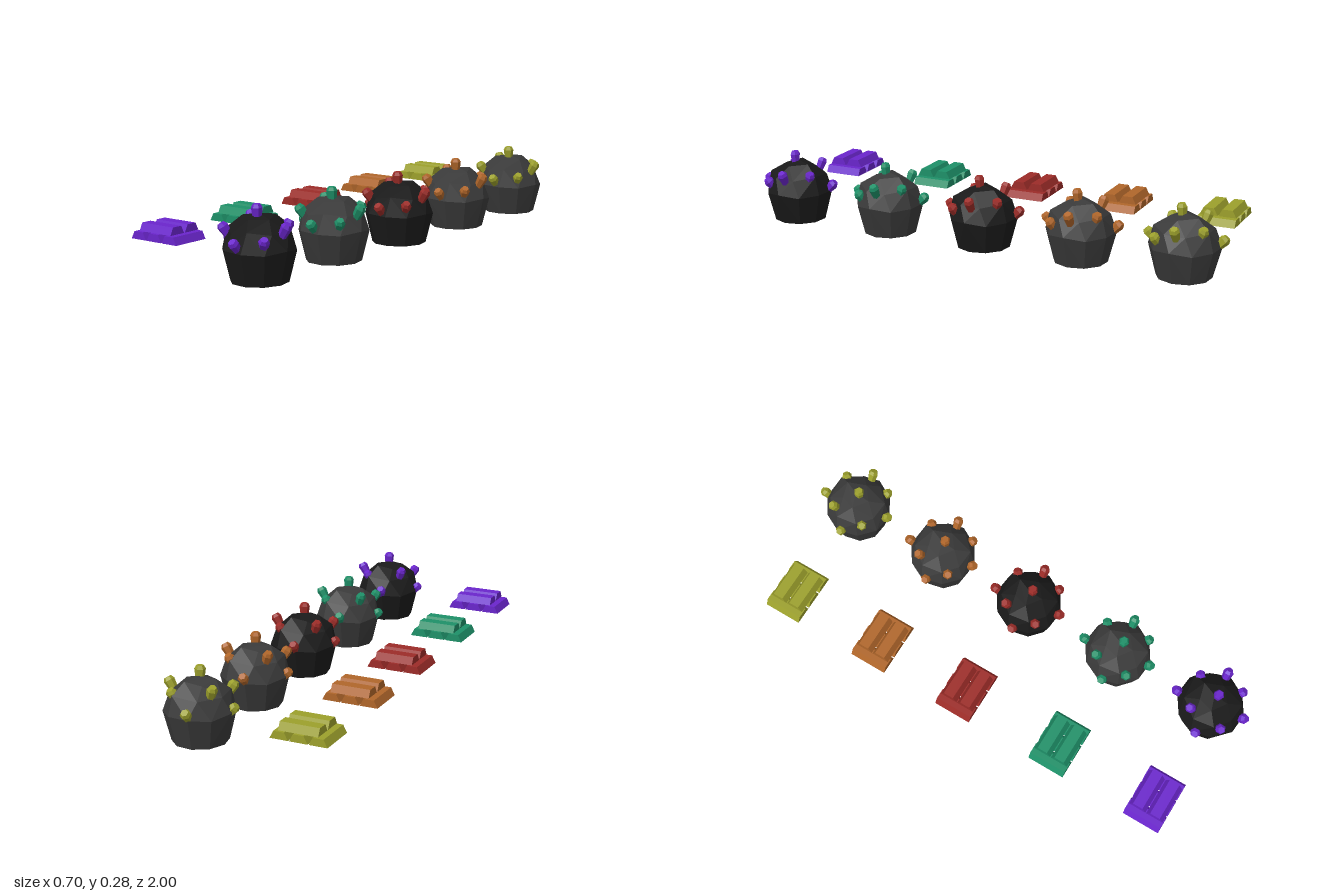
import * as THREE from 'three';
import { ConvexGeometry } from 'three/addons/geometries/ConvexGeometry.js';

const mat = (color) => new THREE.MeshStandardMaterial({ color, flatShading: true });

// Faceted boulder: convex hull of slightly uneven rings, flat underneath
function boulderGeometry() {
  const rings = [ // height, radius, corners, turn
    [0, 0.106, 10, 0.1], [0.12, 0.137, 10, 0.1], [0.188, 0.114, 8, 0.35], [0.23, 0.06, 5, 0.2],
  ];
  const points = [new THREE.Vector3(0.0, 0.244, 0.0)];
  rings.forEach(([y, r, n, turn], k) => {
    for (let i = 0; i < n; i++) {
      const a = turn + (i / n) * Math.PI * 2 + (k > 1 ? 0.12 * Math.sin(i * 5.3 + k) : 0);
      const wobble = k ? 0.004 * Math.sin(i * 3.7 + k * 2) : 0;
      points.push(new THREE.Vector3(Math.cos(a) * (r + wobble), y + wobble * 1.8, Math.sin(a) * (r + wobble)));
    }
  });
  return new ConvexGeometry(points);
}

// Six-sided crystal, widening to a bevelled tip; the tip sits at the origin
function crystalGeometry() {
  const profile = [[0, -0.085], [0.012, -0.085], [0.021, -0.013], [0.014, 0], [0, 0]];
  return new THREE.LatheGeometry(profile.map(([r, y]) => new THREE.Vector2(r, y)), 6);
}

// Ingot: trapezoid bar along z, resting on y = 0
function ingotGeometry() {
  const s = new THREE.Shape();
  s.moveTo(-0.036, 0);
  s.lineTo(0.036, 0);
  s.lineTo(0.021, 0.029);
  s.lineTo(-0.021, 0.029);
  s.closePath();
  const g = new THREE.ExtrudeGeometry(s, { depth: 0.156, bevelEnabled: false });
  return g.translate(0, 0, -0.078);
}

// Crystal tips relative to the boulder's centre
const TIPS = [
  [0.003, 0.28, 0.016], [-0.029, 0.16, -0.153], [-0.093, 0.235, -0.06],
  [0.064, 0.213, -0.095], [-0.15, 0.152, 0.005], [0.132, 0.22, 0],
  [-0.1, 0.21, 0.09], [0.102, 0.177, 0.092], [0.006, 0.167, 0.152],
];

// Ore colour, rock colour, rock z, ingot z
const SETS = [
  [0x6a25cc, 0x1a1a1a, 0.835, 0.832],
  [0x1e9068, 0x3a3a3a, 0.41, 0.403],
  [0x9c2c28, 0x1a1a1a, -0.008, -0.03],
  [0xb0662a, 0x3a3a3a, -0.42, -0.43],
  [0x9ca02c, 0x3a3a3a, -0.835, -0.844],
];

export function createModel() {
  const model = new THREE.Group();
  const boulder = boulderGeometry(), crystal = crystalGeometry(), ingot = ingotGeometry();
  const up = new THREE.Vector3(0, 1, 0);

  for (const [oreColor, rockColor, rockZ, ingotZ] of SETS) {
    const oreMat = mat(oreColor);

    // Boulder with crystals growing out and up
    const node = new THREE.Group();
    node.name = 'oreBoulder';
    node.position.set(0.206, 0, rockZ);
    const rock = new THREE.Mesh(boulder, mat(rockColor));
    rock.name = 'rock';
    node.add(rock);
    for (const tip of TIPS) {
      const c = new THREE.Mesh(crystal, oreMat);
      c.name = 'crystal';
      c.position.set(...tip);
      c.quaternion.setFromUnitVectors(up, c.position.clone().normalize());
      node.add(c);
    }
    model.add(node);

    // Stack: three ingots along z, two across on top
    const stack = new THREE.Group();
    stack.name = 'ingotStack';
    stack.position.set(-0.238, 0.095, ingotZ);
    for (const i of [-1, 0, 1]) {
      const bar = new THREE.Mesh(ingot, oreMat);
      bar.name = 'lowerIngot';
      bar.position.x = i * 0.0765;
      stack.add(bar);
    }
    for (const side of [-1, 1]) {
      const bar = new THREE.Mesh(ingot, oreMat);
      bar.name = 'upperIngot';
      bar.rotation.y = Math.PI / 2;
      bar.position.set(0.003, 0.032, side * 0.038);
      stack.add(bar);
    }
    model.add(stack);
  }
  return model;
}
